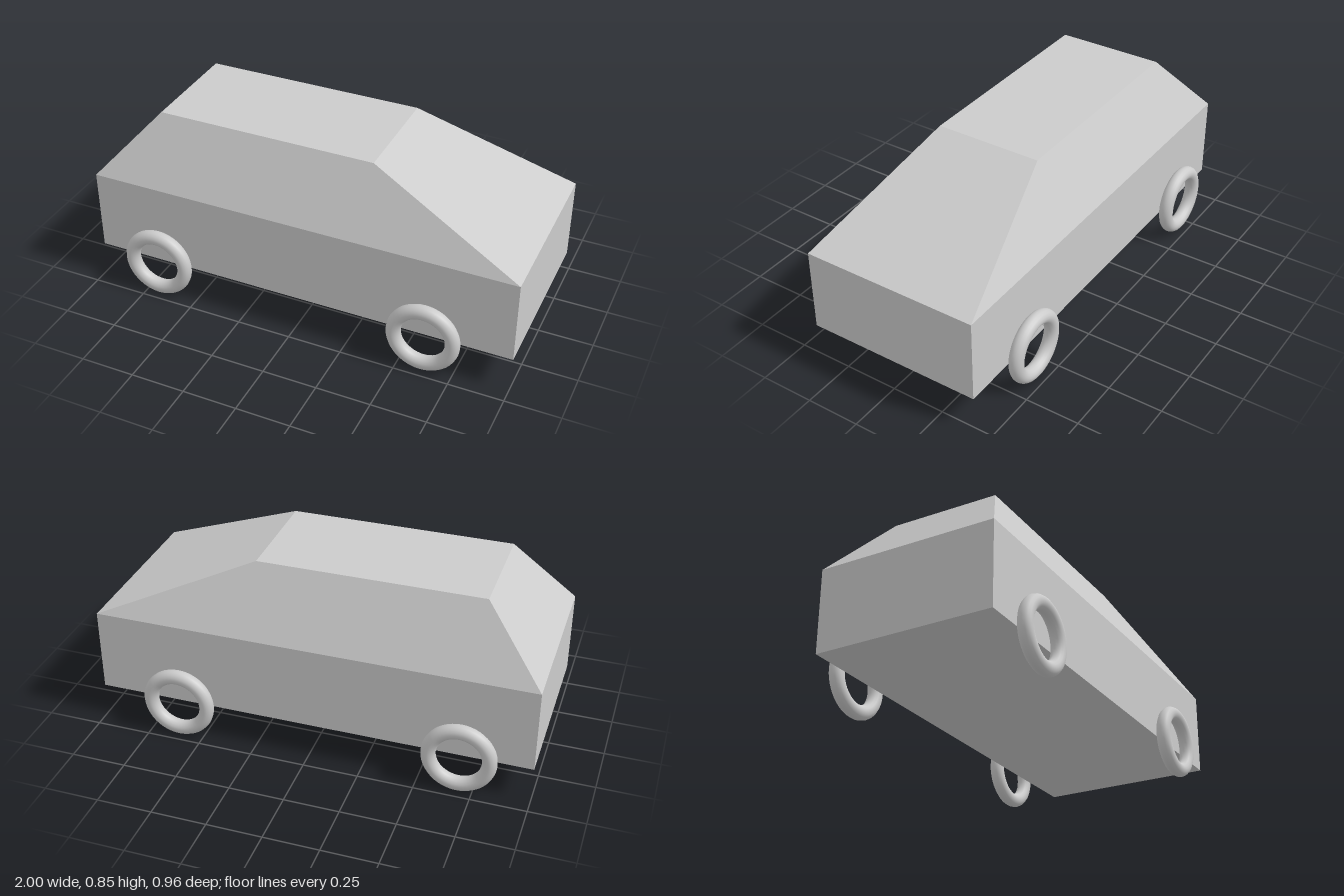
import * as THREE from 'three';

const material = new THREE.MeshStandardMaterial({ color: 0xcccccc });
const flatMaterial = new THREE.MeshStandardMaterial({ color: 0xcccccc, flatShading: true });

const HALF_WIDTH = 0.411;
const FLOOR = 0.156, SHOULDER = 0.54, ROOF = 0.847;

function addMesh(parent, name, geometry, mat) {
  const mesh = new THREE.Mesh(geometry, mat);
  mesh.name = name;
  parent.add(mesh);
  return mesh;
}

// Box whose top corners are pulled in to form the sloped roof and windscreens
function cabinGeometry() {
  const height = ROOF - SHOULDER;
  const geometry = new THREE.BoxGeometry(2, height, HALF_WIDTH * 2);
  geometry.translate(0, SHOULDER + height / 2, 0);
  const p = geometry.attributes.position;
  for (let i = 0; i < p.count; i++) {
    if (p.getY(i) < SHOULDER + height / 2) continue;
    p.setX(i, p.getX(i) < 0 ? -0.727 : 0.29);
    p.setZ(i, Math.sign(p.getZ(i)) * 0.25);
  }
  geometry.computeVertexNormals();
  return geometry;
}

export function createModel() {
  const car = new THREE.Group();
  car.name = 'car';

  // Lower body and cabin
  const body = new THREE.BoxGeometry(2, SHOULDER - FLOOR, HALF_WIDTH * 2);
  addMesh(car, 'lowerBody', body, flatMaterial).position.y = (FLOOR + SHOULDER) / 2;
  addMesh(car, 'cabin', cabinGeometry(), flatMaterial);

  // Ring wheels just outside each side
  const ring = new THREE.TorusGeometry(0.1345, 0.033, 16, 48);
  for (const [end, x] of [['rear', -0.683], ['front', 0.61]]) {
    for (const [side, z] of [['Right', 0.446], ['Left', -0.446]]) {
      addMesh(car, `${end}${side}Wheel`, ring, material).position.set(x, 0.1685, z);
    }
  }
  return car;
}
